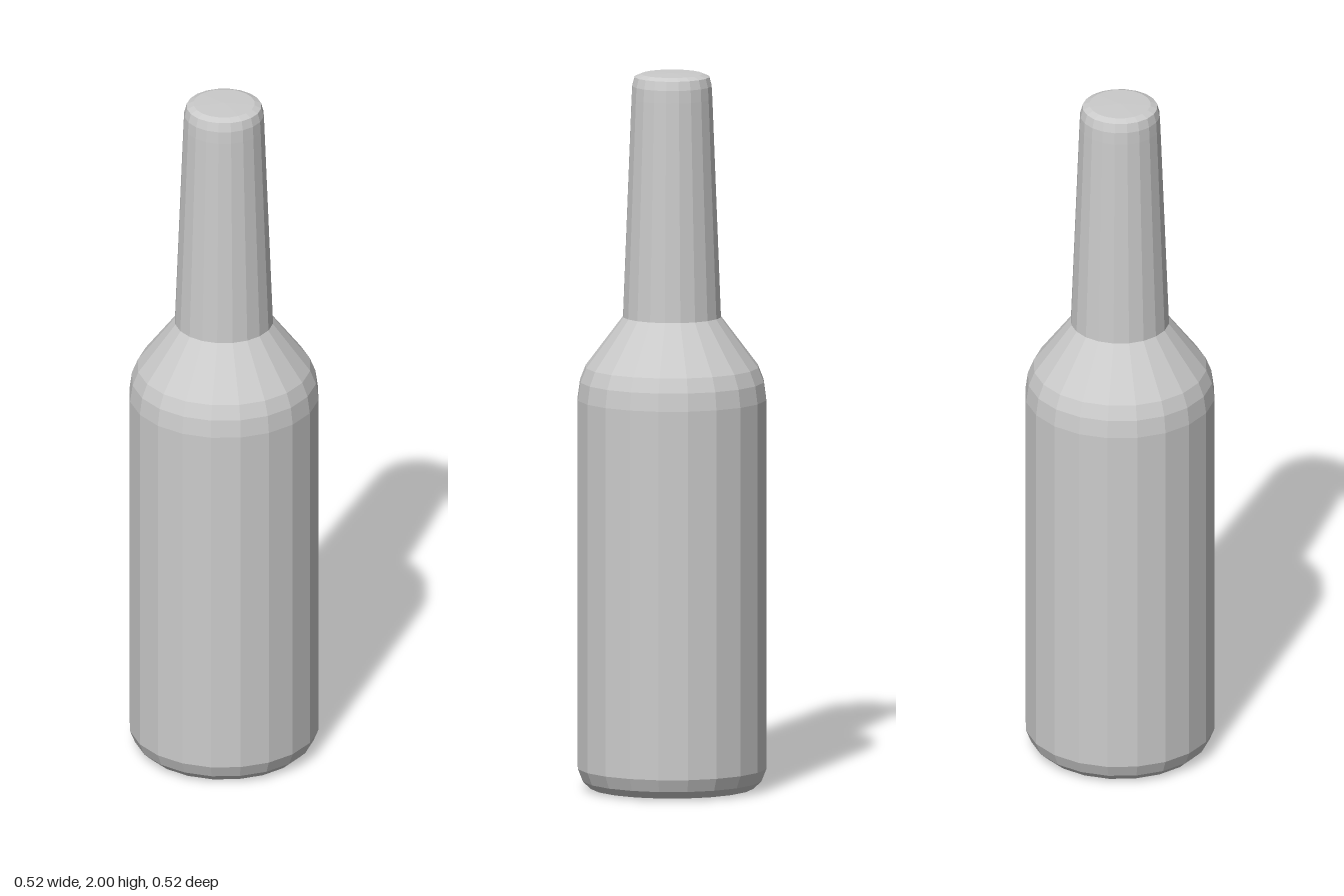
import * as THREE from 'three';

const SIDES = 20;

// Faceted solid of revolution from [radius, height] pairs, listed bottom to top
function turned(name, profile, material) {
  const points = profile.map(([r, y]) => new THREE.Vector2(r, y));
  const mesh = new THREE.Mesh(new THREE.LatheGeometry(points, SIDES, Math.PI / SIDES), material);
  mesh.name = name;
  return mesh;
}

export function createModel() {
  const group = new THREE.Group();
  group.name = 'bottle';
  const material = new THREE.MeshStandardMaterial({ color: 0xcccccc, flatShading: true });

  // Body with bevelled base and sloping shoulder
  group.add(turned('body', [
    [0, 0], [0.228, 0.004], [0.25, 0.025], [0.264, 0.06],
    [0.264, 1.09], [0.257, 1.14], [0.241, 1.18], [0.132, 1.325], [0, 1.325],
  ], material));

  // Tapered neck with softly rounded closed top
  group.add(turned('neck', [
    [0, 1.32], [0.137, 1.32], [0.113, 1.93], [0.111, 1.965],
    [0.104, 1.99], [0.085, 1.998], [0, 2],
  ], material));

  return group;
}
